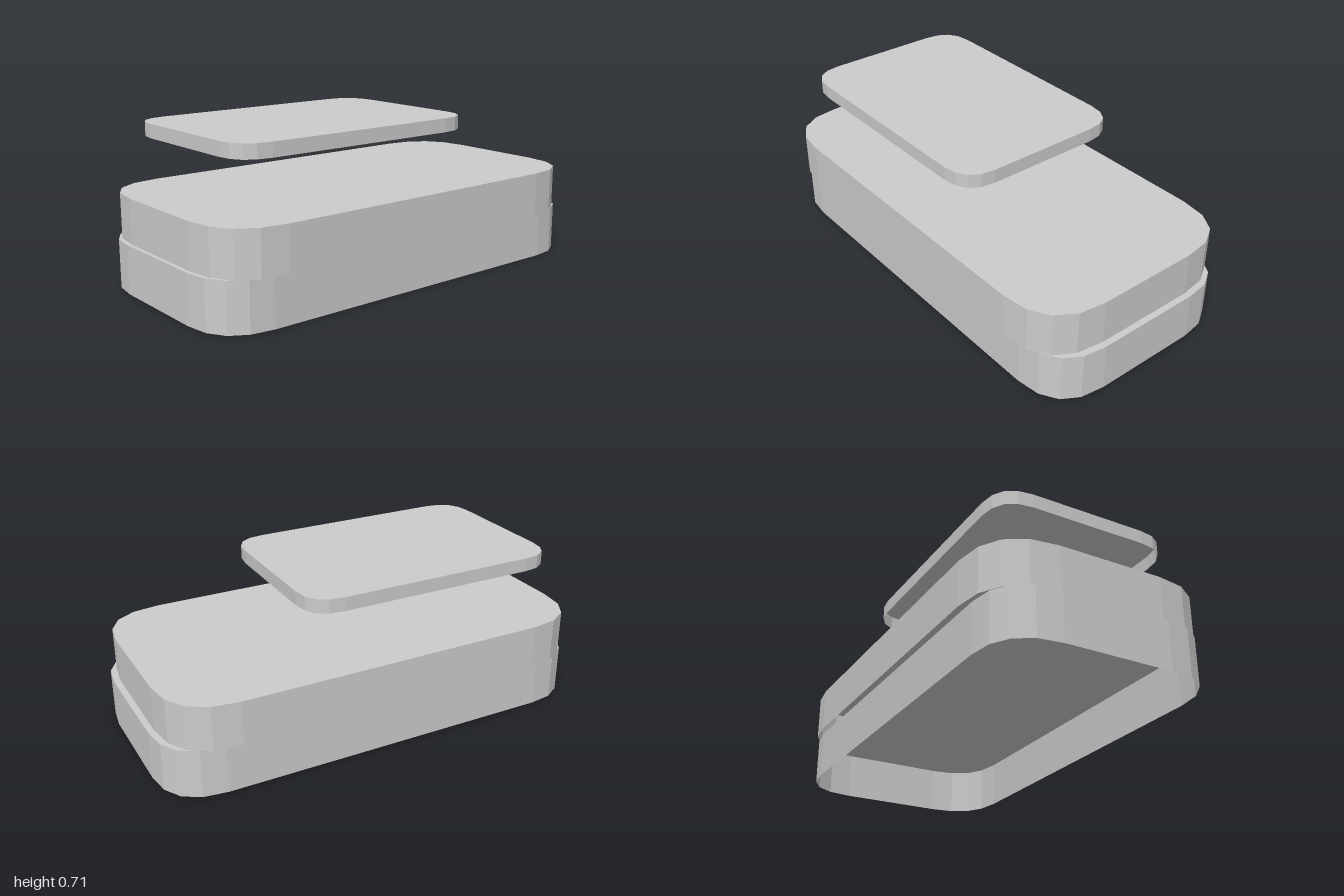
import * as THREE from 'three';
import { mergeGeometries } from 'three/addons/utils/BufferGeometryUtils.js';

const material = new THREE.MeshStandardMaterial({
  color: 0xcccccc, flatShading: true, side: THREE.DoubleSide,
});

// Rectangle with softly curved corners, drawn counter-clockwise
function roundedOutline(w, d, r) {
  const x = w / 2, y = d / 2;
  const s = new THREE.Shape();
  s.moveTo(-x + r, -y);
  s.lineTo(x - r, -y);
  s.quadraticCurveTo(x, -y, x, -y + r);
  s.lineTo(x, y - r);
  s.quadraticCurveTo(x, y, x - r, y);
  s.lineTo(-x + r, y);
  s.quadraticCurveTo(-x, y, -x, y - r);
  s.lineTo(-x, -y + r);
  s.quadraticCurveTo(-x, -y, -x + r, -y);
  return s;
}

// Lid: a flat top with thin walls, open underneath
function lid(name, { width, back, front, bottom, top, radius }) {
  const outline = roundedOutline(width, front - back, radius);
  const cap = new THREE.ShapeGeometry(outline, 4).toNonIndexed();
  cap.deleteAttribute('uv');
  cap.translate(0, 0, top - bottom);

  const pts = outline.getPoints(4);
  const h = top - bottom;
  const walls = [];
  for (let i = 0; i < pts.length; i++) {
    const a = pts[i], b = pts[(i + 1) % pts.length];
    if (a.distanceTo(b) < 1e-6) continue;
    walls.push(a.x, a.y, 0, b.x, b.y, 0, b.x, b.y, h);
    walls.push(a.x, a.y, 0, b.x, b.y, h, a.x, a.y, h);
  }
  const wall = new THREE.BufferGeometry();
  wall.setAttribute('position', new THREE.Float32BufferAttribute(walls, 3));
  wall.computeVertexNormals();

  const geometry = mergeGeometries([cap, wall]);
  geometry.rotateX(-Math.PI / 2);
  const mesh = new THREE.Mesh(geometry, material);
  mesh.name = name;
  mesh.position.set(0, bottom, (front + back) / 2);
  return mesh;
}

export function createModel() {
  const model = new THREE.Group();
  model.name = 'stackedLids';
  model.add(
    lid('lowerBody', { width: 0.96, back: -1, front: 1, bottom: 0, top: 0.215, radius: 0.24 }),
    lid('upperBody', { width: 1.016, back: -0.972, front: 0.982, bottom: 0.215, top: 0.412, radius: 0.275 }),
    // Plate hovering over the front half
    lid('floatingPlate', { width: 0.82, back: -0.347, front: 0.857, bottom: 0.645, top: 0.706, radius: 0.148 }),
  );
  return model;
}
